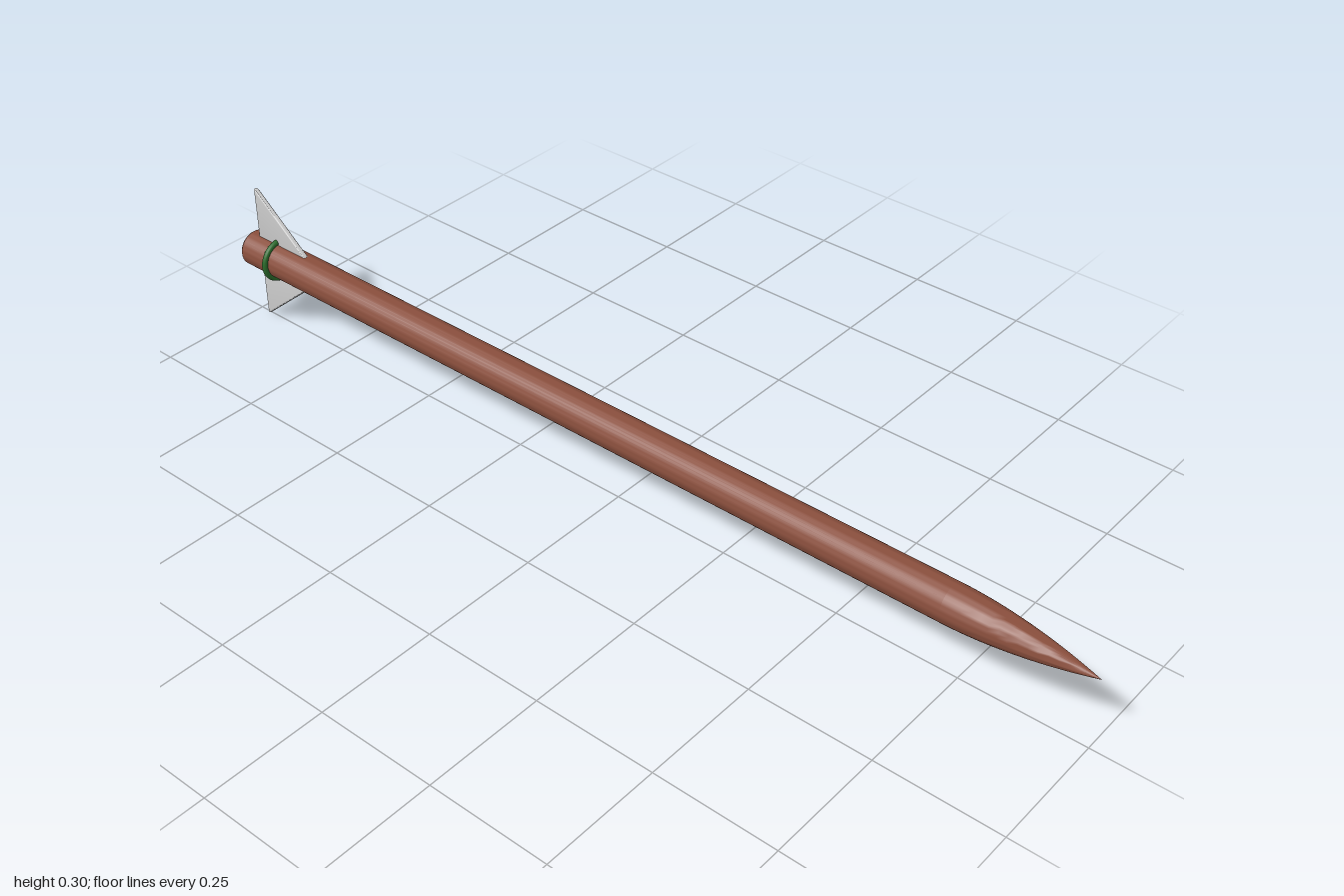
import * as THREE from 'three';
import { toCreasedNormals } from 'three/addons/utils/BufferGeometryUtils.js';

const AXIS_Y = 0.151;

export function createModel() {
  const model = new THREE.Group();
  const add = (name, geometry, color) => {
    const mesh = new THREE.Mesh(geometry, new THREE.MeshStandardMaterial({ color }));
    mesh.name = name;
    model.add(mesh);
    return mesh;
  };

  // Shaft with a curved, pointed nose and a slightly eased tail edge
  const radius = 0.038, noseStart = 0.72, noseLength = 0.28;
  const profile = [[0, -1], [radius - 0.003, -1], [radius, -0.996]];
  const steps = 16;
  for (let i = 0; i <= steps; i++) {
    const t = i / steps;
    profile.push([radius * (1 - Math.pow(t, 1.9)), noseStart + noseLength * t]);
  }
  const shaft = new THREE.LatheGeometry(profile.map(([r, z]) => new THREE.Vector2(Math.max(r, 0), z)), 40);
  shaft.rotateX(Math.PI / 2);
  shaft.translate(0, AXIS_Y, 0);
  add('shaft', toCreasedNormals(shaft, 0.6), 0x8a4f3d);

  // Upper and lower swept fins, rooted inside the shaft
  const finMaterialColor = 0xcccccc;
  const bevel = 0.004;
  const tips = { upperFin: 0.298, lowerFin: 0 };
  for (const [name, tipY] of Object.entries(tips)) {
    const outline = new THREE.Shape([
      new THREE.Vector2(-0.975, AXIS_Y),
      new THREE.Vector2(-0.79, AXIS_Y),
      new THREE.Vector2(-0.97, tipY),
      new THREE.Vector2(-0.975, tipY),
    ]);
    const fin = new THREE.ExtrudeGeometry(outline, {
      depth: 0.003, bevelEnabled: true, bevelThickness: bevel,
      bevelSize: bevel, bevelOffset: -bevel, bevelSegments: 3,
    });
    fin.translate(0, 0, -0.0015);
    fin.rotateY(-Math.PI / 2);
    add(name, toCreasedNormals(fin, 0.7), finMaterialColor);
  }

  // Binding ring around the tail
  const ring = add('bindingRing', new THREE.TorusGeometry(0.042, 0.006, 12, 48), 0x2a6b2a);
  ring.position.set(0, AXIS_Y + 0.001, -0.92);

  return model;
}
